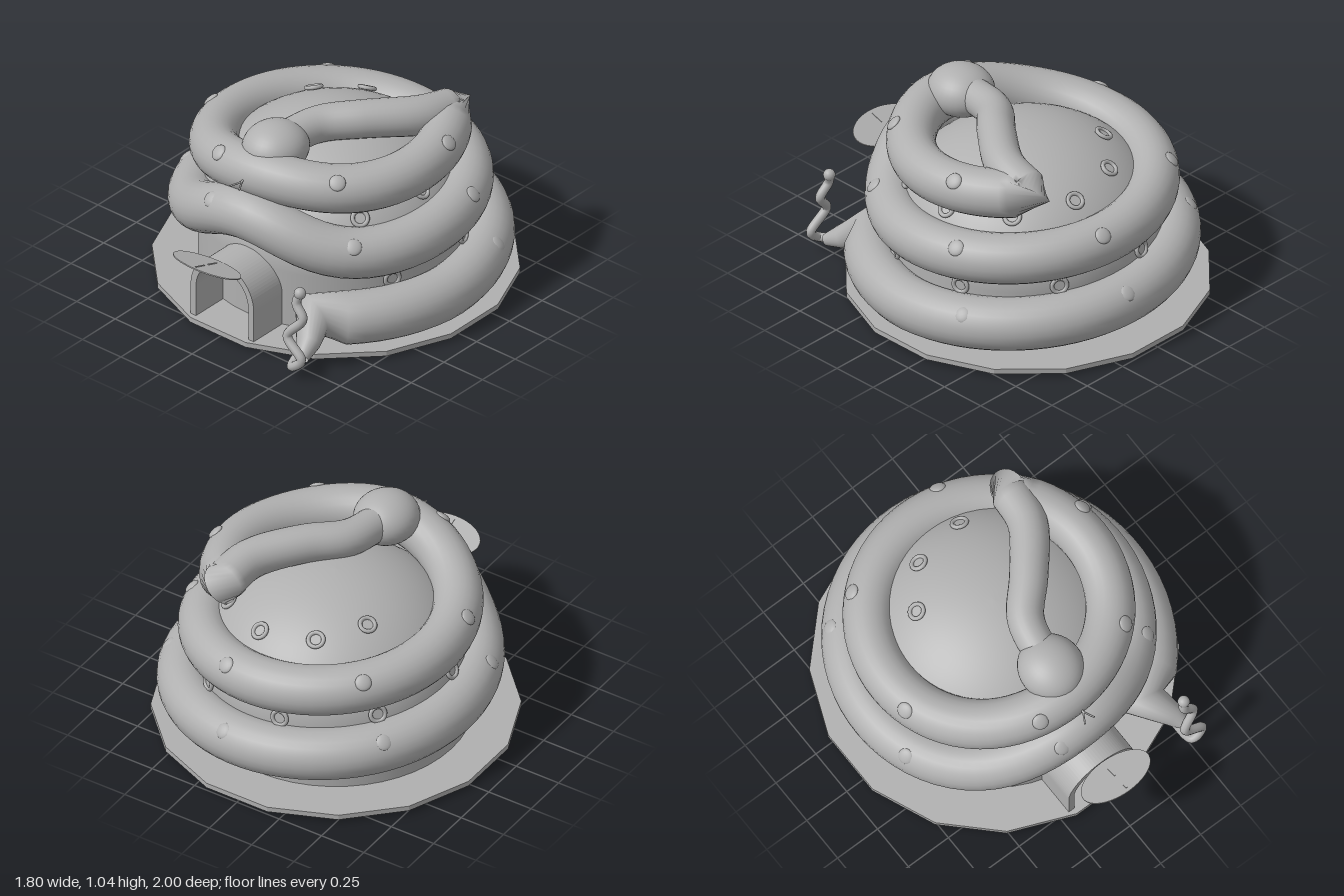
import * as THREE from 'three';

const V = (x, y, z) => new THREE.Vector3(x, y, z);
const CZ = -0.1; // centre of the hut and the coils
const TAU = Math.PI * 2;

// Spiral of the coiled body: a is the angle from +x towards the back
const bump = (a, at, height, width) => height * Math.exp(-(((a - at) / width) ** 2) / 2);
function coilPoint(a) {
  const r = 0.765 - 0.1 * a / TAU;
  const y = Math.max(0.175, 0.18 + 0.32 * a / TAU)
    + bump(a, 1.5 * Math.PI, 0.21, 0.4) + bump(a, 3.5 * Math.PI, 0.08, 0.5);
  return V(r * Math.cos(a), y, CZ - r * Math.sin(a));
}

// Round sweep along points with a radius for each; corners are mitred
function sweep(points, radii, sides = 24) {
  const pos = [], index = [];
  points.forEach((p, i) => {
    const t = V(0, 0, 0);
    if (i > 0) t.add(p.clone().sub(points[i - 1]).normalize());
    if (i < points.length - 1) t.add(points[i + 1].clone().sub(p).normalize());
    t.normalize();
    const side = t.clone().cross(V(0, 1, 0)).normalize();
    const up = side.clone().cross(t);
    for (let j = 0; j < sides; j++) {
      const a = j / sides * TAU;
      const q = p.clone().addScaledVector(side, radii[i] * Math.cos(a)).addScaledVector(up, radii[i] * Math.sin(a));
      pos.push(q.x, q.y, q.z);
      if (i < points.length - 1) {
        const k = (j + 1) % sides, m = i * sides, n = m + sides;
        index.push(m + j, n + j, m + k, n + j, n + k, m + k);
      }
    }
  });
  const g = new THREE.BufferGeometry();
  g.setAttribute('position', new THREE.Float32BufferAttribute(pos, 3));
  g.setIndex(index);
  g.computeVertexNormals();
  return g;
}

export function createModel() {
  const group = new THREE.Group();
  const grey = new THREE.MeshStandardMaterial({ color: 0xb0b0b0 });
  grey.name = 'clay grey';
  grey.side = THREE.DoubleSide;
  const flat = grey.clone();
  flat.flatShading = true;
  flat.name = 'clay grey flat';
  const add = (name, geometry, material = grey, parent = group) => {
    const m = new THREE.Mesh(geometry, material);
    m.name = name;
    parent.add(m);
    return m;
  };

  // Sixteen-sided base slab
  const base = add('baseSlab', new THREE.CylinderGeometry(0.918, 0.918, 0.028, 16), flat);
  base.position.set(0, 0.03, CZ);
  base.rotation.y = Math.PI / 16;

  // Hut: straight wall running into a flattened dome
  const domeR = (y) => (y < 0.35 ? 0.685 : 0.685 * Math.sqrt(Math.max(0, 1 - ((y - 0.35) / 0.53) ** 2)));
  const profile = [new THREE.Vector2(0.685, 0.04)];
  for (let i = 0; i <= 20; i++) {
    const a = i / 20 * Math.PI / 2;
    profile.push(new THREE.Vector2(0.685 * Math.cos(a), 0.35 + 0.53 * Math.sin(a)));
  }
  add('domedHut', new THREE.LatheGeometry(profile, 48)).position.z = CZ;

  // Arched entrance tunnel
  const arch = new THREE.Shape();
  arch.moveTo(0.205, 0);
  arch.lineTo(0.205, 0.22);
  arch.absarc(0, 0.22, 0.205, 0, Math.PI, false);
  arch.lineTo(-0.205, 0);
  arch.lineTo(-0.17, 0);
  arch.lineTo(-0.17, 0.22);
  arch.absarc(0, 0.22, 0.17, Math.PI, 0, true);
  arch.lineTo(0.17, 0);
  add('entranceArch', new THREE.ExtrudeGeometry(arch, { depth: 0.25, bevelEnabled: false, curveSegments: 20 }))
    .position.z = 0.52;

  // Leaf awning with a centre vein
  const awning = new THREE.Group();
  awning.name = 'leafAwning';
  awning.position.set(0, 0.463, 0.885);
  awning.rotation.x = -0.32;
  group.add(awning);
  add('leaf', new THREE.CylinderGeometry(1, 1, 0.006, 40), grey, awning).scale.set(0.2, 1, 0.117);
  for (const z of [-0.04, 0.06]) {
    add('leafVein', new THREE.BoxGeometry(0.008, 0.012, 0.07), grey, awning).position.z = z;
  }

  // Body: tail taper, two and a bit coils, then the neck over the roof
  const points = [V(0.53, 0.08, 0.78), V(0.5, 0.12, 0.7), V(0.41, 0.19, 0.57)];
  const radii = [0.03, 0.06, 0.12];
  const a0 = -0.8, a1 = 2 * TAU + 0.65, steps = 150;
  for (let i = 0; i <= steps; i++) {
    points.push(coilPoint(a0 + (a1 - a0) * i / steps));
    radii.push(0.135 - 0.012 * i / steps);
  }
  const neck = new THREE.CatmullRomCurve3([
    V(0.41, 0.88, -0.52), V(0.37, 0.92, -0.31), V(0.2, 0.94, -0.08), V(0.05, 0.93, 0.09), V(0, 0.92, 0.3),
  ]).getPoints(24);
  neck.forEach((p, i) => {
    points.push(p);
    radii.push(0.105 - 0.015 * i / 24);
  });
  add('coiledBody', sweep(points, radii));

  // Head and forked tongue
  const head = add('head', new THREE.SphereGeometry(1, 32, 20));
  head.scale.set(0.165, 0.13, 0.175);
  head.position.set(0, 0.91, 0.36);
  const rod = (name, a, b, r) => add(name, new THREE.TubeGeometry(new THREE.LineCurve3(a, b), 1, r, 6));
  rod('tongueStem', V(0, 0.86, 0.48), V(0, 0.825, 0.63), 0.006);
  for (const s of [-1, 1]) rod('tongueFork', V(0, 0.825, 0.62), V(0.03 * s, 0.815, 0.675), 0.005);

  // Curling tail tip with a ball on the end
  const curl = new THREE.CatmullRomCurve3([
    V(0.48, 0.13, 0.67), V(0.51, 0.06, 0.84), V(0.575, 0.12, 0.84), V(0.475, 0.22, 0.83),
    V(0.55, 0.33, 0.8), V(0.5, 0.4, 0.79), V(0.51, 0.455, 0.775),
  ]);
  add('tailCurl', new THREE.TubeGeometry(curl, 60, 0.024, 10));
  add('tailBall', new THREE.SphereGeometry(0.031, 16, 12)).position.set(0.51, 0.455, 0.775);

  // Shallow round spots on the body
  for (let i = 0; i <= 12; i++) {
    const a = (22 + 59 * i) * Math.PI / 180;
    const spot = add('bodySpot', new THREE.SphereGeometry(1, 16, 10));
    const out = V(Math.cos(a) * 0.7, 0.7, -Math.sin(a) * 0.7).normalize();
    spot.position.copy(coilPoint(a)).addScaledVector(out, 0.122);
    spot.scale.set(0.042, 0.042, 0.016);
    spot.quaternion.setFromUnitVectors(V(0, 0, 1), out);
  }

  // Round windows that climb the hut between the coils
  const windowAngles = [];
  for (let i = 0; i < 6; i++) windowAngles.push(-26 + 41.7 * i);
  for (let i = 0; i < 6; i++) windowAngles.push(322 + 37 * i);
  for (const deg of windowAngles) {
    const a = deg * Math.PI / 180;
    const y = 0.34 + 0.32 * a / TAU;
    const r = domeR(y);
    const slope = (domeR(y - 0.01) - domeR(y + 0.01)) / 0.02;
    const out = V(Math.cos(a), slope, -Math.sin(a)).normalize();
    const win = new THREE.Group();
    win.name = 'roundWindow';
    win.position.set(r * Math.cos(a), y, CZ - r * Math.sin(a)).addScaledVector(out, 0.012);
    win.lookAt(win.position.clone().add(out));
    group.add(win);
    add('windowRim', new THREE.TorusGeometry(0.038, 0.011, 8, 24), grey, win);
    add('windowPane', new THREE.CircleGeometry(0.036, 24), grey, win);
  }
  return group;
}
